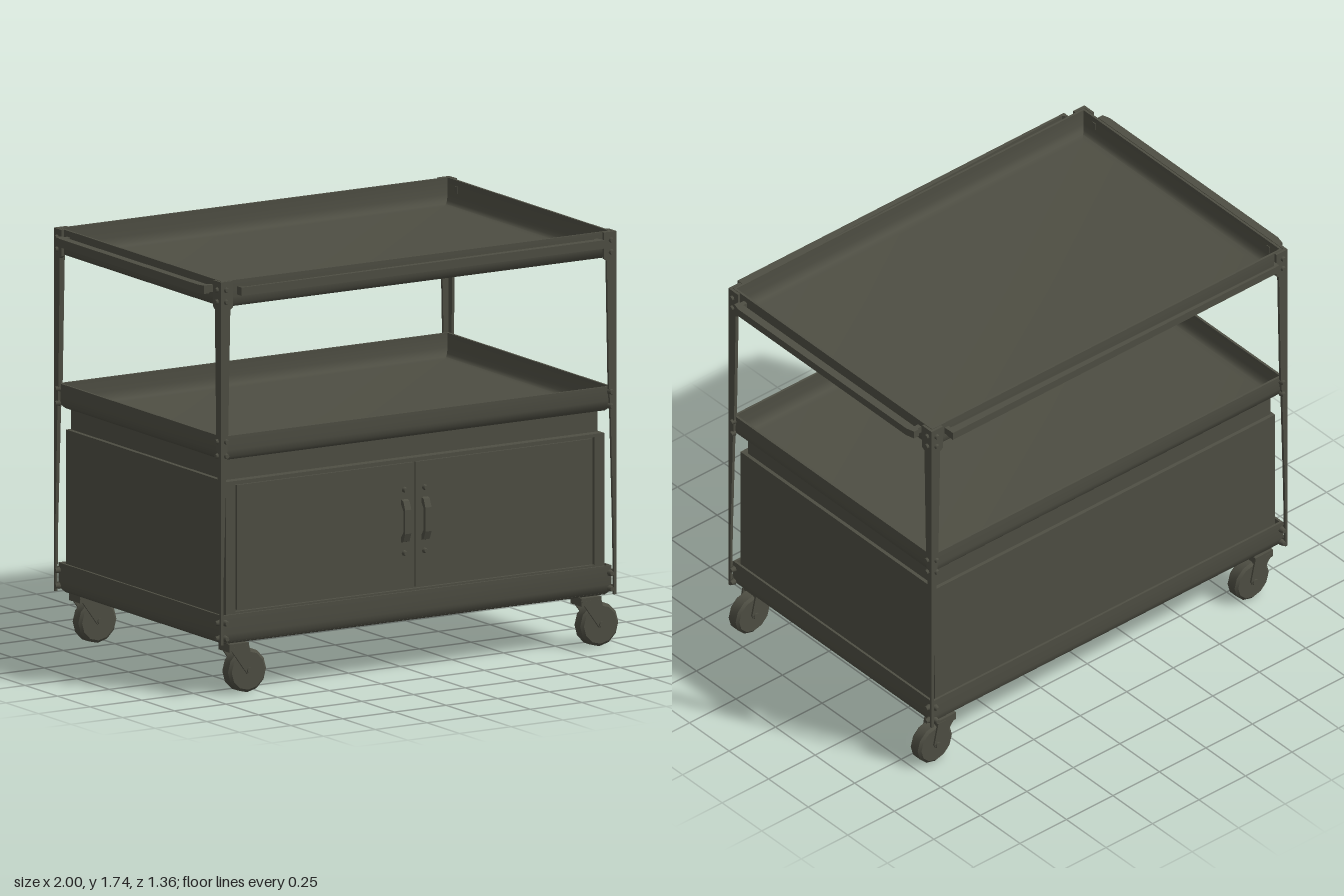
import * as THREE from 'three';
import { toCreasedNormals } from 'three/addons/utils/BufferGeometryUtils.js';

const olive = new THREE.MeshStandardMaterial({ color: 0x4e4e43 });
olive.name = 'dark olive metal';

function add(parent, name, geometry, x = 0, y = 0, z = 0) {
  const mesh = new THREE.Mesh(geometry, olive);
  mesh.name = name;
  mesh.position.set(x, y, z);
  parent.add(mesh);
  return mesh;
}

const box = (w, h, d) => new THREE.BoxGeometry(w, h, d);

// Rectangular loft: profile is a list of [inset, y], closed at both ends
function rectLoft(hx, hz, profile) {
  const corners = [[1, 1], [1, -1], [-1, -1], [-1, 1]];
  const pos = [], index = [];
  for (const [inset, y] of profile)
    for (const [sx, sz] of corners) pos.push(sx * (hx - inset), y, sz * (hz - inset));
  for (let i = 0; i < profile.length - 1; i++)
    for (let j = 0; j < 4; j++) {
      const a = i * 4 + j, b = i * 4 + (j + 1) % 4;
      index.push(a, b, b + 4, a, b + 4, a + 4);
    }
  const t = (profile.length - 1) * 4;
  index.push(0, 2, 1, 0, 3, 2, t, t + 1, t + 2, t, t + 2, t + 3);
  const g = new THREE.BufferGeometry();
  g.setAttribute('position', new THREE.Float32BufferAttribute(pos, 3));
  g.setIndex(index);
  return toCreasedNormals(g, 0.8);
}

function extrude(points, depth) {
  const shape = new THREE.Shape(points.map(([x, y]) => new THREE.Vector2(x, y)));
  return new THREE.ExtrudeGeometry(shape, { depth, bevelEnabled: false });
}

// Open sheet-metal pan: rolled lower edge, thin rim, sunken floor
function tray(name, y, h) {
  return [name, rectLoft(0.943, 0.628, [
    [0.05, 0], [0.02, 0.007], [0.006, 0.022], [0, 0.05], [0, h],
    [0.01, h], [0.01, 0.05], [0.016, 0.026], [0.028, 0.014], [0.05, 0.01]]), 0, y, 0];
}

// Corner angle, tapering towards the floor, with its bolts
function cornerPost() {
  const post = new THREE.Group();
  post.name = 'cornerPost';
  const d = 0.012;
  const outline = [[0, 0.22], [-0.01, 0.22], [-0.014, 0.5], [-0.028, 0.98],
    [-0.036, 1.1], [-0.046, 1.62], [-0.06, 1.63], [-0.06, 1.74], [0, 1.74]];
  add(post, 'postFrontFlange', extrude(outline, d).translate(0, 0, -d));
  add(post, 'postSideFlange', extrude(outline, d).rotateY(-Math.PI / 2));
  for (const y of [0.245, 0.31, 1.01, 1.07, 1.655, 1.705]) {
    const bolt = new THREE.CylinderGeometry(0.009, 0.014, 0.02, 8);
    add(post, 'postBolt', bolt.clone().rotateX(Math.PI / 2), -0.026, y, 0);
    add(post, 'postBolt', bolt.clone().rotateZ(-Math.PI / 2), 0, y, -0.026);
  }
  return post;
}

// Swivel caster, wheel trailing towards +x
function caster() {
  const g = new THREE.Group();
  g.name = 'caster';
  add(g, 'casterCrown', box(0.095, 0.034, 0.085), 0, 0.196, 0);
  const fork = [[-0.048, 0.2], [0.048, 0.2], [0.07, 0.1], [0.062, 0.082], [0.04, 0.08], [0.018, 0.11]];
  for (const s of [-1, 1])
    add(g, 'casterFork', extrude(fork, 0.008).translate(0, 0, -0.004), 0, 0, s * 0.039);
  const wheel = new THREE.LatheGeometry([[0.001, -0.032], [0.08, -0.032], [0.092, -0.022],
    [0.092, 0.022], [0.08, 0.032], [0.001, 0.032]].map(p => new THREE.Vector2(...p)), 12);
  add(g, 'wheel', toCreasedNormals(wheel.rotateX(Math.PI / 2), 0.6), 0.05, 0.092, 0);
  add(g, 'wheelAxle', new THREE.CylinderGeometry(0.014, 0.014, 0.1, 8).rotateX(Math.PI / 2), 0.05, 0.095, 0);
  return g;
}

// Cabinet door handle: bowed grip with a bolt above and below
function handle() {
  const g = new THREE.Group();
  g.name = 'doorHandle';
  const grip = [[0, -0.09], [0.018, -0.085], [0.032, -0.05], [0.032, 0.05], [0.018, 0.085],
    [0, 0.09], [0, 0.07], [0.018, 0.045], [0.018, -0.045], [0, -0.07]];
  add(g, 'handleGrip', extrude(grip, 0.03).translate(0, 0, -0.015).rotateY(-Math.PI / 2));
  for (const y of [-0.135, 0.13])
    add(g, 'handleBolt', new THREE.CylinderGeometry(0.008, 0.013, 0.016, 8).rotateX(Math.PI / 2), 0, y, 0.006);
  return g;
}

export function createModel() {
  const cart = new THREE.Group();
  cart.name = 'utilityCart';

  // Three trays
  add(cart, ...tray('bottomTray', 0.21, 0.13));
  add(cart, ...tray('middleTray', 0.98, 0.11));
  add(cart, ...tray('topTray', 1.62, 0.12));

  // Cabinet standing in the bottom tray, stepped in below the middle tray
  add(cart, 'cabinetBody', rectLoft(0.915, 0.606,
    [[0, 0.224], [0, 0.895], [0.014, 0.897], [0.014, 0.984]]), 0, 0, -0.007);
  const frame = new THREE.Shape([[-0.915, 0.224], [0.915, 0.224], [0.915, 0.895], [-0.915, 0.895]]
    .map(p => new THREE.Vector2(...p)));
  frame.holes.push(new THREE.Path([[-0.868, 0.347], [-0.868, 0.882], [0.868, 0.882], [0.868, 0.347]]
    .map(p => new THREE.Vector2(...p))));
  add(cart, 'cabinetFrame', new THREE.ExtrudeGeometry(frame, { depth: 0.016, bevelEnabled: false }), 0, 0, 0.599);

  // Doors with thin gaps around them
  for (const s of [-1, 1]) {
    add(cart, 'cabinetDoor', box(0.852, 0.522, 0.01), s * 0.432, 0.614, 0.604);
    const h = handle();
    h.position.set(s * 0.049, 0.635, 0.608);
    cart.add(h);
  }

  // Corner posts
  [[1, 1], [1, -1], [-1, -1], [-1, 1]].forEach(([sx, sz], k) => {
    const post = cornerPost();
    post.position.set(sx * 0.957, 0, sz * 0.642);
    post.rotation.y = k * Math.PI / 2;
    cart.add(post);
  });

  // Casters, all swivelled the same way
  for (const sx of [-1, 1]) for (const sz of [-1, 1]) {
    const c = caster();
    c.position.set(sx * 0.852, 0, sz * 0.575);
    cart.add(c);
  }

  // Tapered rails along the front and back of the top tray
  for (const s of [-1, 1]) {
    const plan = [[-0.88, 0.68], [0.875, 0.68], [0.875, 0.645], [-0.86, 0.669], [-0.88, 0.645]];
    const rail = extrude(plan.map(([x, z]) => [x, -z * s]), 0.035).rotateX(-Math.PI / 2);
    add(cart, s > 0 ? 'frontRail' : 'backRail', rail, 0, 1.682, 0);
    add(cart, 'railBracket', box(0.02, 0.03, 0.05), 0.865, 1.7, s * 0.646);
  }

  // Rails on the two ends of the top tray
  for (const s of [-1, 1]) {
    const plan = [[0.965, 0.565], [0.99, 0.565], [1, 0.53], [1, -0.53], [0.99, -0.57], [0.965, -0.57]];
    const rail = extrude(plan.map(([x, z]) => [x * s, -z]), 0.035).rotateX(-Math.PI / 2);
    add(cart, s > 0 ? 'leftRail' : 'rightRail', rail, 0, 1.682, 0);
    for (const z of [-0.55, 0.55])
      add(cart, 'railBracket', box(0.05, 0.03, 0.02), s * 0.955, 1.7, z);
  }
  return cart;
}
